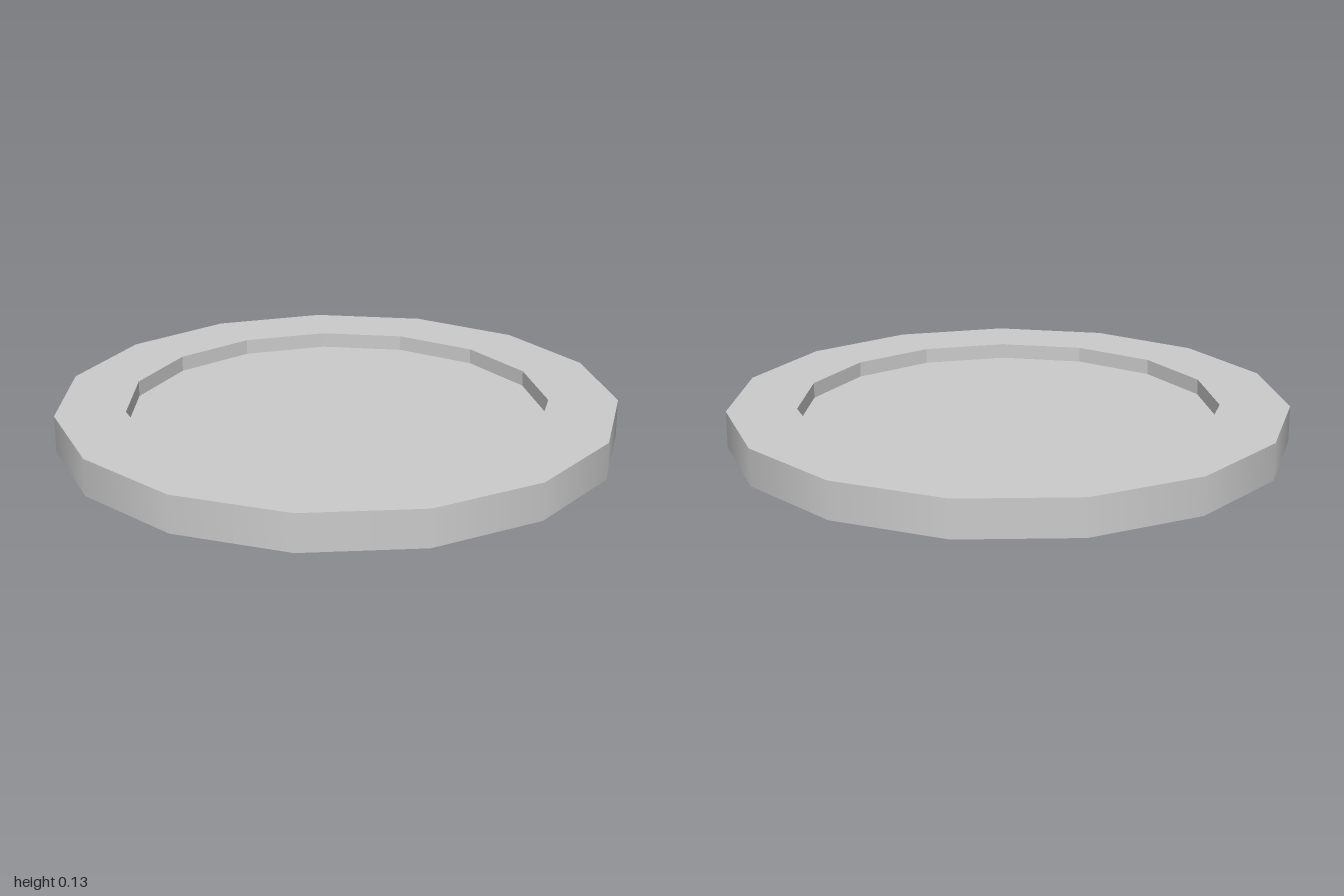
import * as THREE from 'three';

const SIDES = 15;
const OUTER = 1.0055, INNER = 0.756, HEIGHT = 0.133;
const FLOOR_LOW = 0.057, FLOOR_HIGH = 0.076;

export function createModel() {
  const group = new THREE.Group();
  const smooth = new THREE.MeshStandardMaterial({ color: 0xcccccc });
  const flat = new THREE.MeshStandardMaterial({ color: 0xcccccc, flatShading: true });

  const add = (name, geometry, material) => {
    const mesh = new THREE.Mesh(geometry, material);
    mesh.name = name;
    mesh.rotation.y = Math.PI / 2; // a corner points to +x
    mesh.position.x = -0.011; // centres the odd-sided outline
    group.add(mesh);
    return mesh;
  };
  const turned = (profile) =>
    new THREE.LatheGeometry(profile.map(([r, y]) => new THREE.Vector2(r, y)), SIDES);

  // Smoothly shaded outer wall
  add('outerWall', turned([[OUTER, 0], [OUTER, HEIGHT]]), smooth);

  // Rim: top face, inner wall and bottom face
  add('rim', turned([[OUTER, HEIGHT], [INNER, HEIGHT], [INNER, 0], [OUTER, 0]]), flat);

  // Thin plate recessed from both sides
  const plate = add('recessedPlate',
    new THREE.CylinderGeometry(INNER, INNER, FLOOR_HIGH - FLOOR_LOW, SIDES), flat);
  plate.position.y = (FLOOR_LOW + FLOOR_HIGH) / 2;

  return group;
}
